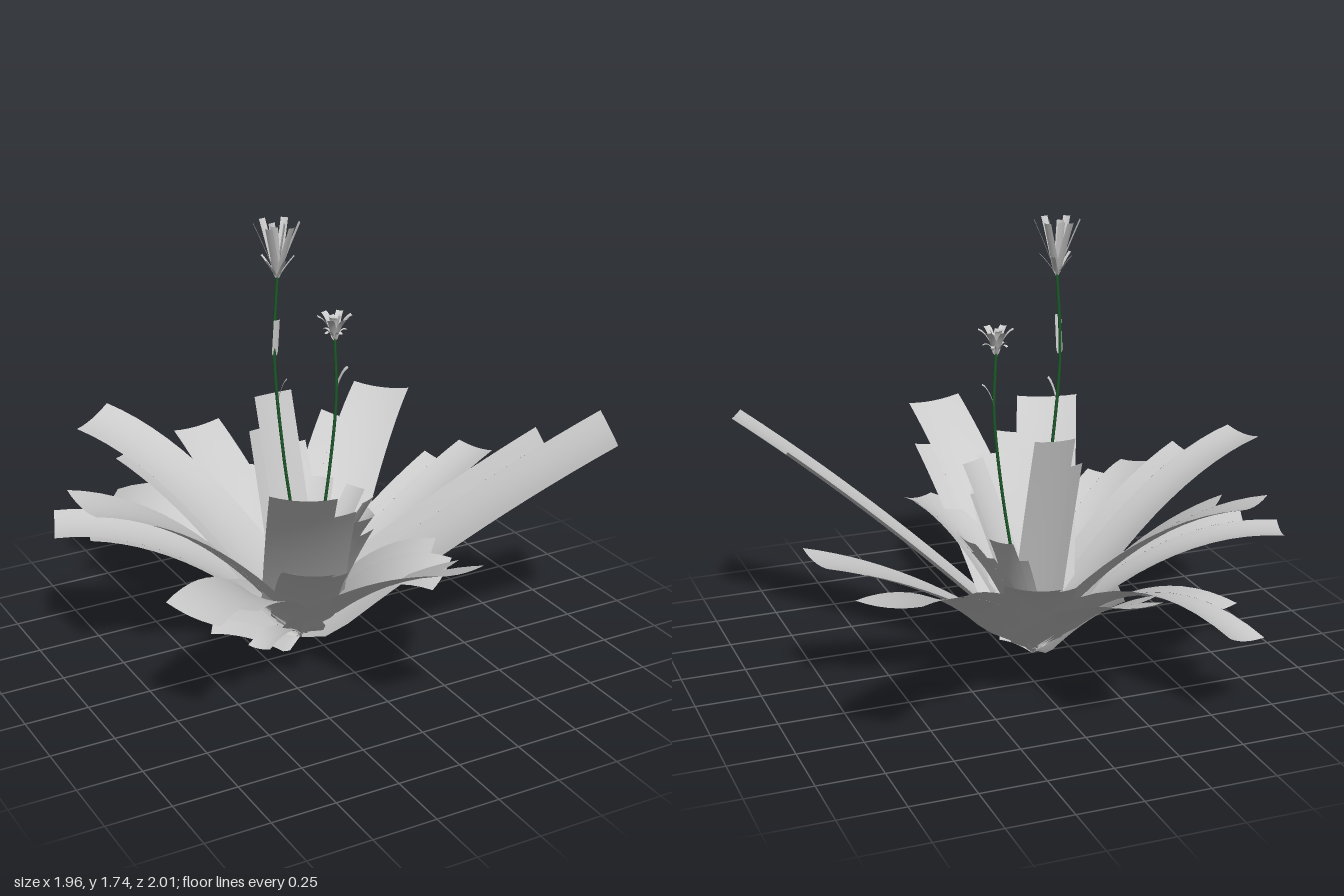
import * as THREE from 'three';

const V = (x, y, z) => new THREE.Vector3(x, y, z);
const grey = new THREE.MeshStandardMaterial({ color: 0xcccccc, side: THREE.DoubleSide });
const green = new THREE.MeshStandardMaterial({ color: 0x1d5a2a });
const ROOT = V(-0.07, 0.03, -0.06);

// Channelled blade growing from root in a compass direction, rolled about its
// length. A quarter of its width stops at t = stepEnd, for a ragged outline.
function blade(name, root, angle, reach, rise, width, bulge, roll = 0, stepEnd = 1) {
  const out = V(Math.cos(angle), 0, Math.sin(angle));
  const chord = out.clone().multiplyScalar(reach).add(V(0, rise, 0));
  const tip = root.clone().add(chord);
  const mid = root.clone().lerp(tip, 0.5).add(V(0, bulge * 2, 0));
  const spine = new THREE.QuadraticBezierCurve3(root, mid, tip);
  const side = V(-out.z, 0, out.x).applyAxisAngle(chord.normalize(), roll);
  const rows = 14, cols = 8, pos = [], idx = [];
  const strip = (c0, c1, end) => {
    const first = pos.length / 3, n = c1 - c0 + 1;
    for (let j = 0; j <= rows; j++) {
      const t = (j / rows) * end;
      const up = spine.getTangent(t).cross(side).negate().normalize();
      const half = (width / 2) * Math.min(1, 0.25 + 0.75 * Math.sqrt(t * 9));
      for (let c = c0; c <= c1; c++) {
        const s = (c / cols) * 2 - 1;
        const p = spine.getPoint(t).addScaledVector(side, s * half)
          .addScaledVector(up, half * 0.16 * (s * s - 0.3));
        pos.push(p.x, p.y, p.z);
        if (j < rows && c < c1) {
          const k = first + j * n + c - c0;
          idx.push(k, k + 1, k + n, k + 1, k + n + 1, k + n);
        }
      }
    }
  };
  strip(0, 2, stepEnd);
  strip(2, cols, 1);
  const g = new THREE.BufferGeometry();
  g.setAttribute('position', new THREE.Float32BufferAttribute(pos, 3));
  g.setIndex(idx);
  g.computeVertexNormals();
  const m = new THREE.Mesh(g, grey);
  m.name = name;
  return m;
}

// Whorls of narrow petals: open outer, upright inner, low sepals
function flower(name, base, height, radius, arch) {
  const f = new THREE.Group();
  f.name = name;
  const whorl = (part, count, r, h, w) => {
    for (let i = 0; i < count; i++) {
      f.add(blade(part, base, 0.3 + (i / count) * Math.PI * 2, r, h, w, arch));
    }
  };
  whorl('petal', 6, radius, height, 0.028);
  whorl('innerPetal', 3, radius * 0.35, height * 0.97, 0.03);
  whorl('sepal', 5, radius * 0.75, height * 0.4, 0.014);
  return f;
}

function stem(points) {
  const curve = new THREE.CatmullRomCurve3(points.map(([x, y]) => V(x, y, ROOT.z)));
  const m = new THREE.Mesh(new THREE.TubeGeometry(curve, 32, 0.006, 6), green);
  m.name = 'flowerStem';
  return m;
}

export function createModel() {
  const plant = new THREE.Group();
  plant.name = 'plant';

  // Leaves: compass degrees from +x towards +z, reach, tip height, width, arch, roll
  const outer = [
    [86, 1.06, 0.74, 0.3, 0.06, 0], [29, 1.16, 0.92, 0.34, 0.04, 0.3],
    [-12, 0.92, 0.58, 0.26, 0.06, 0], [-46, 1.15, 0.65, 0.32, 0.1, 0.15],
    [-92, 0.94, 0.57, 0.28, 0.05, 0], [-71, 0.68, 0.55, 0.26, 0.05, 0],
    [-130, 0.91, 0.79, 0.33, 0.13, 0], [-122, 0.97, 0.32, 0.32, 0.2, -0.25],
    [-159, 0.94, 0.53, 0.29, 0.14, 0], [175, 0.91, 0.79, 0.31, 0.13, 0],
    [140, 0.91, 0.53, 0.29, 0.13, -0.15],
  ];
  const inner = [
    [113, 0.73, 0.64, 0.25, 0.06, 0], [113, 0.6, 0.87, 0.32, 0.05, 0],
    [64, 0.66, 0.49, 0.27, 0.12, 0.35], [90, 0.44, 0.69, 0.27, 0.04, 0],
    [64, 0.34, 0.71, 0.17, 0.03, 0.2], [-93, 0.25, 0.95, 0.21, 0.02, 0],
    [-48, 0.3, 0.57, 0.13, 0.04, 0], [-21, 0.32, 0.55, 0.13, 0.04, 0],
    [9, 0.29, 0.51, 0.12, 0.04, 0],
  ];
  const addLeaves = (name, list) => list.forEach(([deg, reach, top, width, arch, roll], i) => {
    const a = THREE.MathUtils.degToRad(deg);
    plant.add(blade(name, ROOT, a, reach, top - ROOT.y, width, arch, roll, 0.78 + 0.04 * (i % 3)));
  });
  addLeaves('outerLeaf', outer);
  addLeaves('innerLeaf', inner);

  // Low leaf turned on edge, and a small low leaf in front of it
  plant.add(blade('edgewiseLeaf', ROOT, Math.PI, 0.36, 0.2, 0.22, 0.03, -1.3));
  plant.add(blade('lowLeaf', ROOT, 2.45, 0.41, 0.13, 0.09, 0.04));

  // Small withered leaves and roots around the crown
  const crown = V(ROOT.x, 0.005, ROOT.z);
  for (let i = 0; i < 12; i++) {
    plant.add(blade('crownLeaf', crown, i * 2.4, 0.07 + 0.03 * (i % 3), 0.06 + 0.03 * (i % 4), 0.036, 0.01));
  }

  // Flower stems and flowers
  plant.add(stem([[-0.07, 0.05], [-0.1, 0.5], [-0.14, 0.8], [-0.175, 1.2], [-0.16, 1.52]]));
  plant.add(stem([[-0.06, 0.05], [0.02, 0.45], [0.065, 0.75], [0.088, 1], [0.08, 1.23]]));
  plant.add(flower('tallFlower', V(-0.16, 1.5, ROOT.z), 0.21, 0.085, 0.005));
  plant.add(flower('shortFlower', V(0.08, 1.22, ROOT.z), 0.1, 0.065, 0.02));

  // Bracts on the stems
  plant.add(blade('bract', V(-0.173, 1.2, ROOT.z), Math.PI / 2, 0.02, 0.15, 0.025, 0));
  plant.add(blade('bract', V(-0.163, 1.02, ROOT.z), 0.6, 0.035, 0.09, 0.025, 0.015));
  plant.add(blade('bract', V(0.088, 1.03, ROOT.z), 0.3, 0.045, 0.08, 0.025, 0.015));
  return plant;
}
